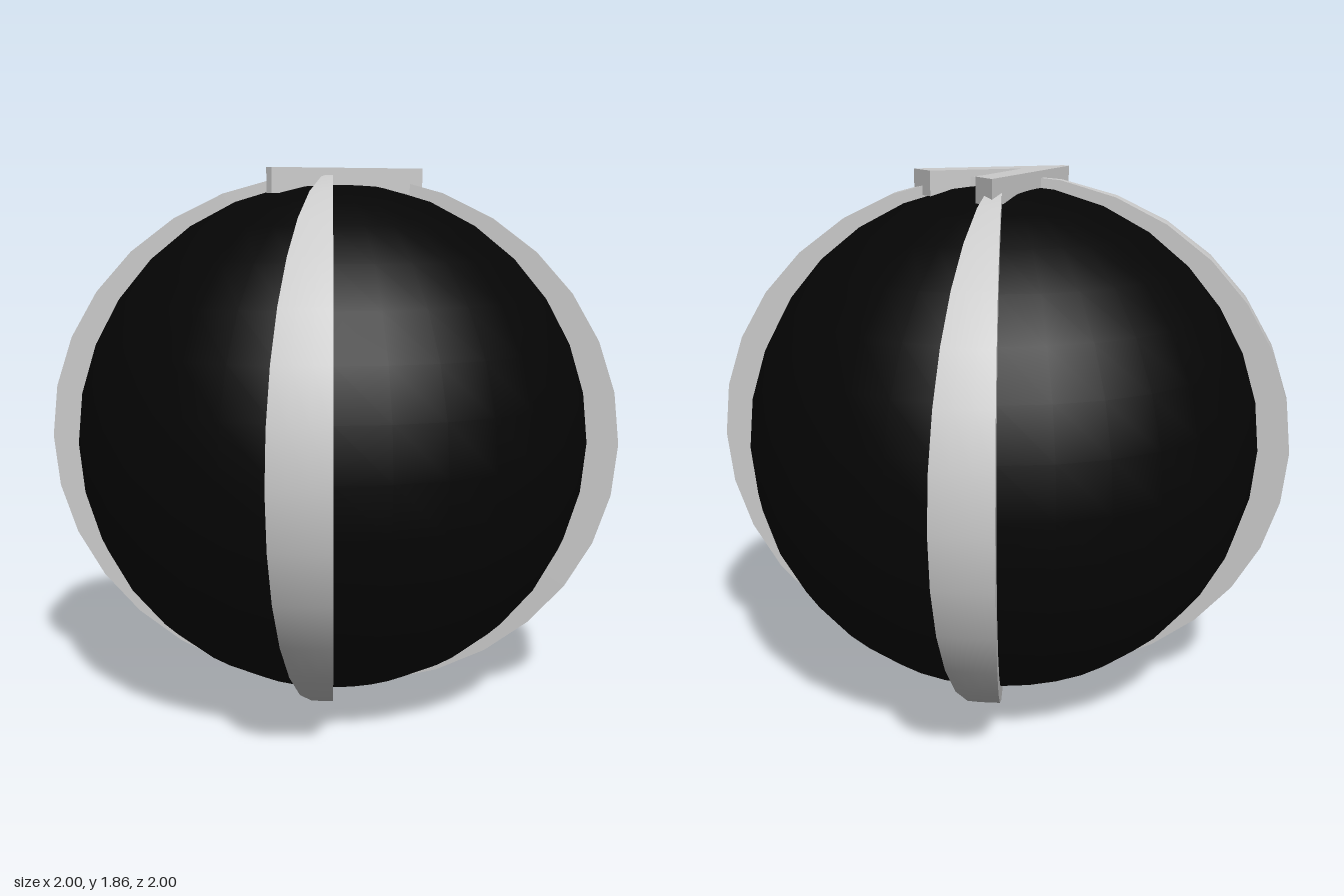
import * as THREE from 'three';
import { mergeGeometries } from 'three/addons/utils/BufferGeometryUtils.js';

const STEP = Math.PI / 16; // angle of one sphere segment
const CENTER_Y = 0.925;

// Thin closed slice of a slightly flattened sphere, at the front, starting at x = 0
function ribGeometry() {
  const skin = new THREE.SphereGeometry(1, 1, 16, Math.PI / 2, STEP);
  const innerWall = new THREE.CircleGeometry(1, 16, -Math.PI / 2, Math.PI).rotateY(-Math.PI / 2);
  const outerWall = new THREE.CircleGeometry(1, 16, Math.PI / 2, Math.PI).rotateY(Math.PI / 2 + STEP);
  return mergeGeometries([skin, innerWall, outerWall]).scale(1, 0.922, 1);
}

export function createModel() {
  const model = new THREE.Group();
  model.name = 'ribbedBall';
  const grey = new THREE.MeshStandardMaterial({ color: 0xcccccc });
  const black = new THREE.MeshStandardMaterial({ color: 0x050505 });

  // Dark ball
  const ball = new THREE.Mesh(new THREE.SphereGeometry(0.893, 32, 16), black);
  ball.name = 'ball';
  ball.scale.y = 0.994;
  ball.position.y = CENTER_Y + 0.002;
  model.add(ball);

  // Four ribs, a quarter turn apart
  const ribGeo = ribGeometry();
  ['frontRib', 'leftRib', 'backRib', 'rightRib'].forEach((name, i) => {
    const rib = new THREE.Mesh(ribGeo, grey);
    rib.name = name;
    rib.position.y = CENTER_Y;
    rib.rotation.y = i * Math.PI / 2;
    model.add(rib);
  });

  // V-shaped plate on top, outlined as x, z
  const outline = [
    [-0.187, 0.2], [-0.165, 0.215], [0.31, -0.02], [0.235, -0.085],
    [-0.05, 0.06], [0.037, -0.25], [-0.032, -0.315],
  ];
  const shape = new THREE.Shape(outline.map(([x, z]) => new THREE.Vector2(x, -z)));
  const plateGeo = new THREE.ExtrudeGeometry(shape, { depth: 0.085, bevelEnabled: false });
  const plate = new THREE.Mesh(plateGeo.rotateX(-Math.PI / 2), grey);
  plate.name = 'topPlate';
  plate.position.y = 1.775;
  model.add(plate);

  return model;
}
